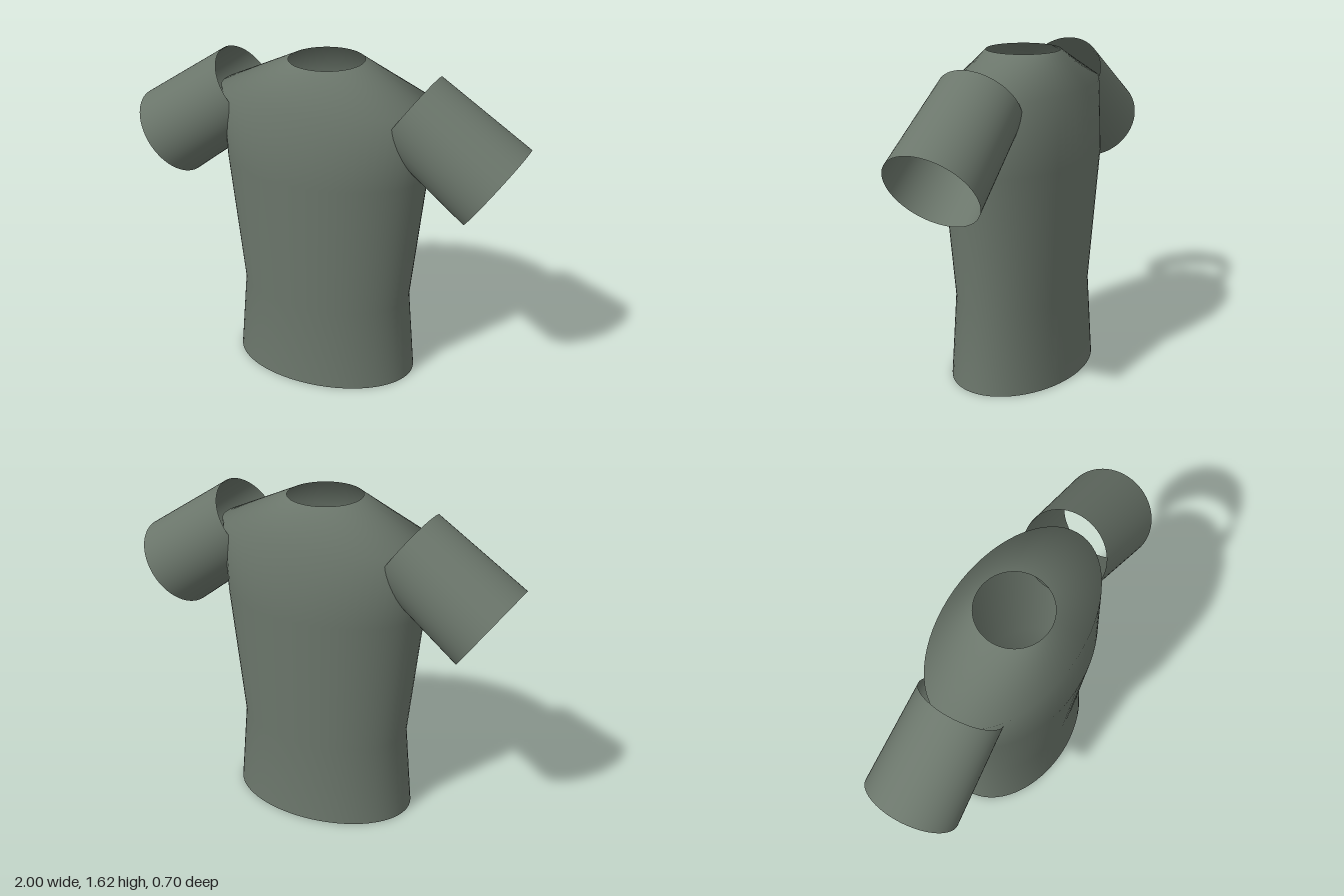
import * as THREE from 'three';

const SEGMENTS = 64;

// Open tube lofted through elliptical rings [y, radiusX, radiusZ], listed bottom to top
function loft(rings) {
  const positions = [];
  const indices = [];
  rings.forEach(([y, rx, rz], r) => {
    for (let i = 0; i < SEGMENTS; i++) {
      const a = (i / SEGMENTS) * Math.PI * 2;
      positions.push(Math.sin(a) * rx, y, Math.cos(a) * rz);
      if (r === rings.length - 1) continue;
      const next = (i + 1) % SEGMENTS;
      const a0 = r * SEGMENTS + i, b0 = r * SEGMENTS + next;
      indices.push(a0, b0, b0 + SEGMENTS, a0, b0 + SEGMENTS, a0 + SEGMENTS);
    }
  });
  const geometry = new THREE.BufferGeometry();
  geometry.setAttribute('position', new THREE.Float32BufferAttribute(positions, 3));
  geometry.setIndex(indices);
  geometry.computeVertexNormals();
  return geometry;
}

export function createModel() {
  const shirt = new THREE.Group();
  shirt.name = 'shirt';

  const cloth = new THREE.MeshStandardMaterial({ color: 0x6b766b, side: THREE.DoubleSide });
  cloth.name = 'grey green cloth';

  // Body: hem, waist, chest, shoulder line, neck opening
  const body = new THREE.Mesh(loft([
    [0, 0.475, 0.322],
    [0.42, 0.44, 0.3],
    [1.1, 0.515, 0.348],
    [1.45, 0.545, 0.322],
    [1.62, 0.182, 0.182],
  ]), cloth);
  body.name = 'body';
  shirt.add(body);

  // Sleeves: slightly flared open tubes running from shoulder to cuff
  const up = new THREE.Vector3(0, 1, 0);
  for (const side of [1, -1]) {
    const shoulder = new THREE.Vector3(side * 0.432, 1.43, 0);
    const cuff = new THREE.Vector3(side * 0.865, 1.12, 0);
    const axis = shoulder.clone().sub(cuff);
    const sleeve = new THREE.Mesh(loft([
      [0, 0.233, 0.233],
      [axis.length(), 0.21, 0.21],
    ]), cloth);
    sleeve.name = side > 0 ? 'leftSleeve' : 'rightSleeve';
    sleeve.position.copy(cuff);
    sleeve.quaternion.setFromUnitVectors(up, axis.normalize());
    shirt.add(sleeve);
  }

  return shirt;
}
